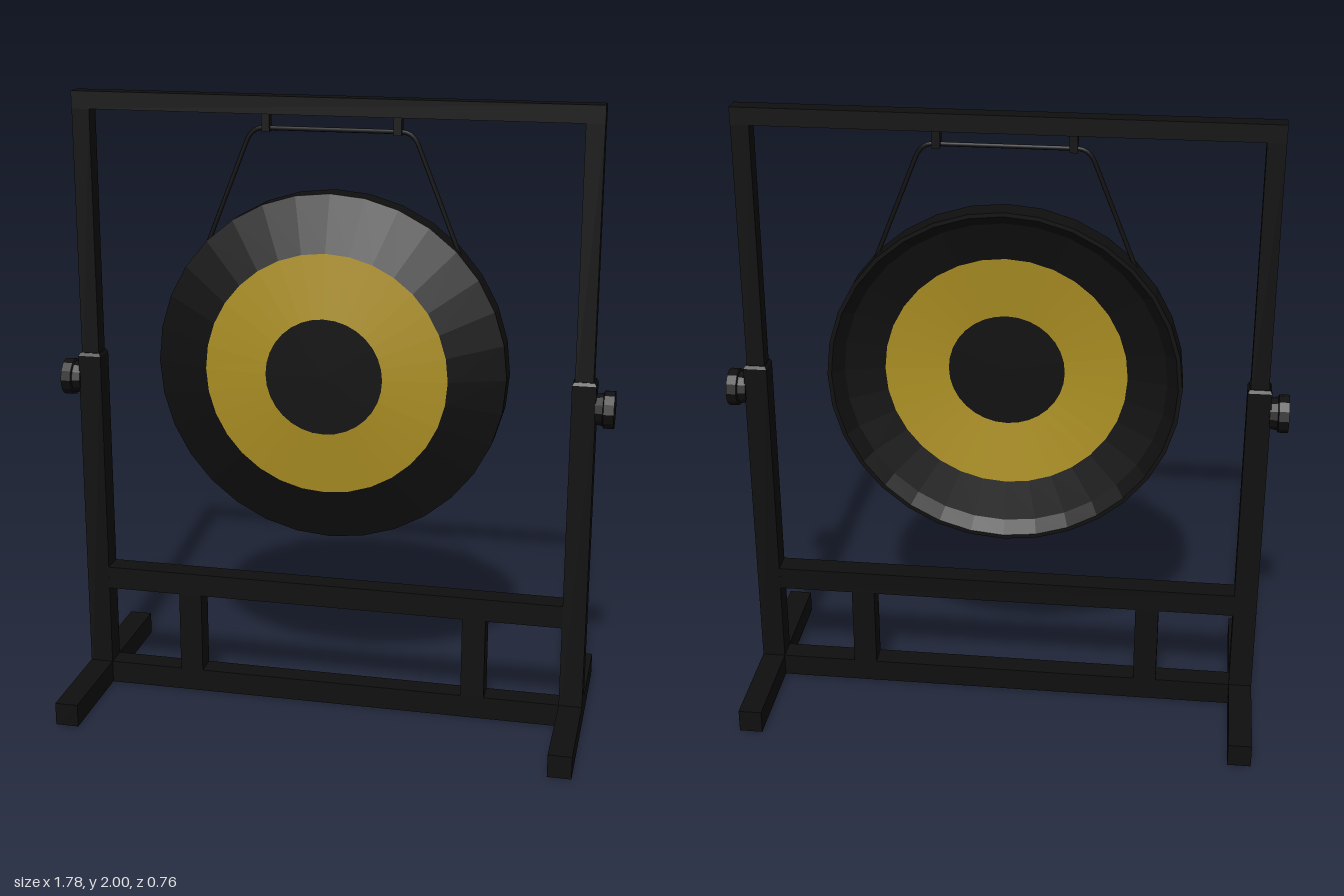
import * as THREE from 'three';

export function createModel() {
  const group = new THREE.Group();
  const black = new THREE.MeshStandardMaterial({ color: 0x0f0f0f, flatShading: true });
  const blackShell = new THREE.MeshStandardMaterial({ color: 0x0f0f0f, flatShading: true, side: THREE.DoubleSide });
  const goldShell = new THREE.MeshStandardMaterial({ color: 0xaa8e22, flatShading: true, side: THREE.DoubleSide });
  const cordMaterial = new THREE.MeshStandardMaterial({ color: 0x0f0f0f });

  function add(name, geometry, material = black, parent = group) {
    const mesh = new THREE.Mesh(geometry, material);
    mesh.name = name;
    parent.add(mesh);
    return mesh;
  }
  // Box given by its centre x, bottom, top, width and depth
  function bar(name, x, y0, y1, width, depth) {
    const mesh = add(name, new THREE.BoxGeometry(width, y1 - y0, depth));
    mesh.position.set(x, (y0 + y1) / 2, 0);
  }

  // Horizontal members
  bar('topBeam', 0, 1.945, 2, 1.648, 0.058);
  bar('middleRail', 0, 0.345, 0.42, 1.53, 0.074);
  bar('bottomRail', 0, 0, 0.075, 1.53, 0.074);

  for (const [label, s] of [['left', 1], ['right', -1]]) {
    bar(label + 'Foot', s * 0.796, 0, 0.075, 0.075, 0.757);
    bar(label + 'LowerPost', s * 0.796, 0, 1.15, 0.075, 0.075);
    bar(label + 'UpperPost', s * 0.795, 1.1, 1.945, 0.057, 0.057);
    bar(label + 'Strut', s * 0.476, 0.075, 0.345, 0.076, 0.074);
    bar(label + 'CordClip', s * 0.205, 1.89, 1.945, 0.025, 0.03);

    // Chamfered top of the lower post
    const collar = add(label + 'PostCollar',
      new THREE.CylinderGeometry(0.032 * Math.SQRT2, 0.0375 * Math.SQRT2, 0.01, 4).rotateY(Math.PI / 4));
    collar.position.set(s * 0.796, 1.155, 0);

    // Clamp knob: tapered neck and a thick round grip
    const knobProfile = [[0, 0], [0.048, 0], [0.053, 0.025], [0.06, 0.028], [0.06, 0.06], [0, 0.06]]
      .map(([r, h]) => new THREE.Vector2(r, h));
    const knob = add(label + 'Knob', new THREE.LatheGeometry(knobProfile, 12));
    knob.rotation.z = -s * Math.PI / 2;
    knob.position.set(s * 0.83, 1.07, 0);
  }

  // Gong: domed front and dished back, each in three coloured zones
  const gong = new THREE.Group();
  gong.name = 'gong';
  gong.position.y = 1.152;
  group.add(gong);
  function zone(name, profile, material) {
    const points = profile.map(([r, z]) => new THREE.Vector2(r, z));
    add(name, new THREE.LatheGeometry(points, 32).rotateX(Math.PI / 2), material, gong);
  }
  zone('gongRim', [[0.385, 0.02], [0.51, -0.01], [0.545, -0.05], [0.558, -0.05], [0.558, 0.032], [0.385, 0.097]], blackShell);
  zone('gongFrontBand', [[0.385, 0.097], [0.185, 0.122]], goldShell);
  zone('gongFrontCentre', [[0.185, 0.122], [0, 0.122]], blackShell);
  zone('gongBackBand', [[0.185, 0.045], [0.385, 0.02]], goldShell);
  zone('gongBackCentre', [[0, 0.045], [0.185, 0.045]], blackShell);

  // Hanging cord with rounded upper corners
  const v = (x, y) => new THREE.Vector3(x, y, 0);
  const path = new THREE.CurvePath();
  path.add(new THREE.LineCurve3(v(-0.4, 1.53), v(-0.27, 1.855)));
  path.add(new THREE.QuadraticBezierCurve3(v(-0.27, 1.855), v(-0.253, 1.9), v(-0.215, 1.9)));
  path.add(new THREE.LineCurve3(v(-0.215, 1.9), v(0.215, 1.9)));
  path.add(new THREE.QuadraticBezierCurve3(v(0.215, 1.9), v(0.253, 1.9), v(0.27, 1.855)));
  path.add(new THREE.LineCurve3(v(0.27, 1.855), v(0.4, 1.53)));
  add('hangingCord', new THREE.TubeGeometry(path, 100, 0.007, 8), cordMaterial);

  return group;
}
